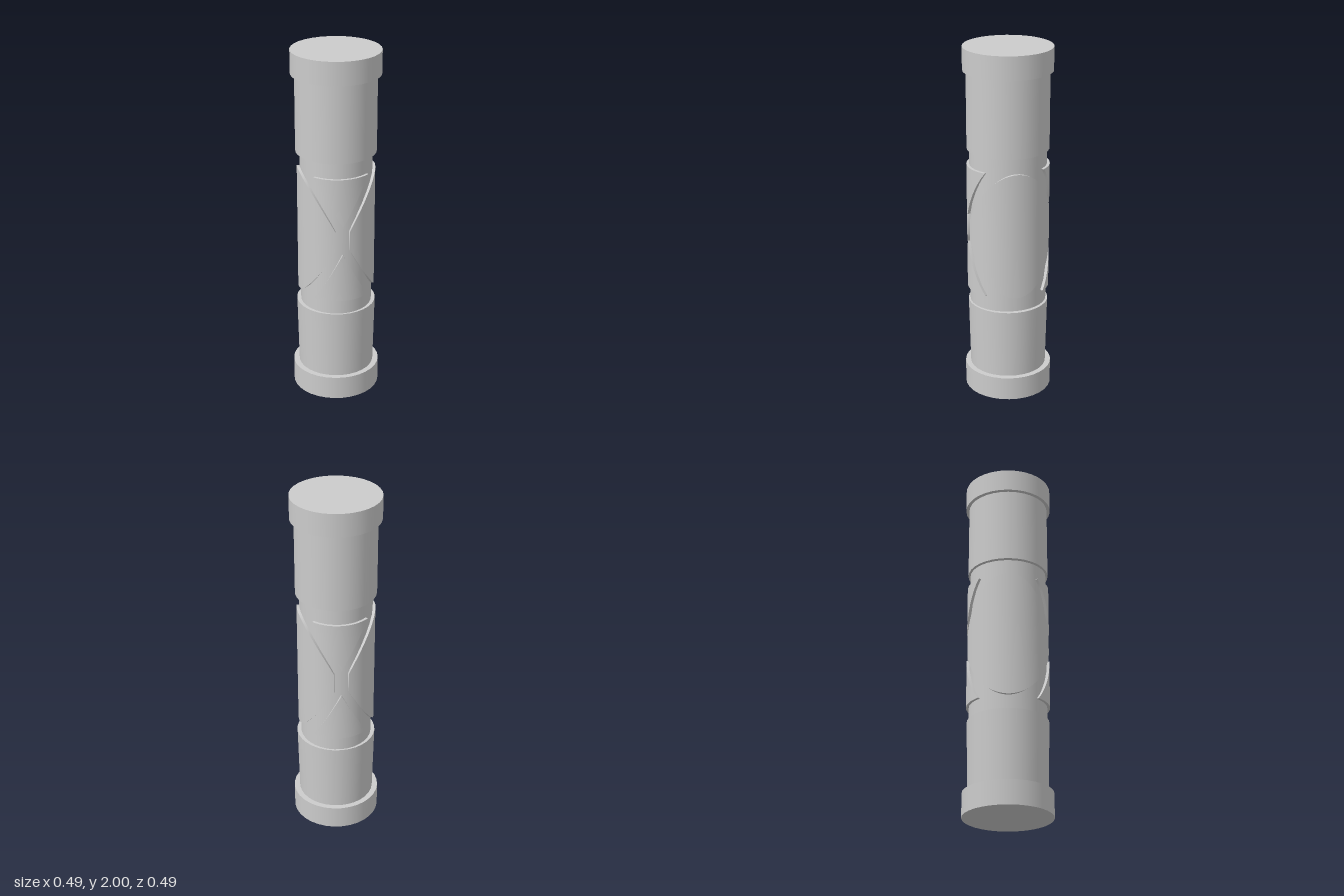
import * as THREE from 'three';
import { toCreasedNormals } from 'three/addons/utils/BufferGeometryUtils.js';

const MID = 0.983;            // height of the grip's centre
const HALF = 0.3625;          // half height of the grip panels
const RX = 0.215, RZ = 0.23;  // outer radii of the grip panels
const material = new THREE.MeshStandardMaterial({ color: 0xcccccc, side: THREE.DoubleSide });

// Upright cylinder section, optionally oval and tapered
function section(name, y0, y1, rTop, rBottom = rTop, depth = 1) {
  const geometry = new THREE.CylinderGeometry(rTop, rBottom, y1 - y0, 32);
  geometry.scale(1, 1, depth);
  const mesh = new THREE.Mesh(geometry, material);
  mesh.name = name;
  mesh.position.y = (y0 + y1) / 2;
  return mesh;
}

// Raised plate wrapped on the grip; range(angle) gives its lower and upper edge
function plate(name, from, to, steps, range) {
  const rings = [];
  for (let i = 0; i <= steps; i++) {
    const a = from + (to - from) * i / steps;
    const [low, high] = range(a);
    const at = (y, k) => [RX * k * Math.cos(a), y, RZ * k * Math.sin(a)];
    rings.push([at(low, 1), at(high, 1), at(high, 0.9), at(low, 0.9)]);
  }
  const points = [];
  const quad = (a, b, c, d) => points.push(...a, ...b, ...c, ...a, ...c, ...d);
  for (let i = 0; i < steps; i++) {
    const a = rings[i], b = rings[i + 1];
    for (let j = 0; j < 4; j++) {
      const k = (j + 1) % 4;
      quad(a[j], a[k], b[k], b[j]);
    }
  }
  const first = rings[0], last = rings[steps];
  quad(first[0], first[3], first[2], first[1]);
  quad(last[0], last[1], last[2], last[3]);
  const geometry = new THREE.BufferGeometry();
  geometry.setAttribute('position', new THREE.Float32BufferAttribute(points, 3));
  const mesh = new THREE.Mesh(toCreasedNormals(geometry, 0.6), material);
  mesh.name = name;
  return mesh;
}

export function createModel() {
  const group = new THREE.Group();

  // Stacked body
  group.add(
    section('bottomCap', 0, 0.135, 0.246),
    section('lowerBody', 0.135, 0.535, 0.223, 0.214, 1.01),
    section('gripCore', 0.535, 1.435, 0.2, 0.2, 1.075),
    section('upperBody', 1.435, 1.87, 0.223, 0.223, 1.02),
    section('topCap', 1.87, 2, 0.246)
  );

  // Oval side panels with trimmed ends
  const ovalEnd = Math.acos(0.04 / RX);
  const oval = a => {
    const h = HALF * Math.sqrt(1 - (Math.sin(a) / 0.9945) ** 2);
    return [MID - h, MID + h];
  };
  // Triangular panels filling the gaps between the ovals
  const triEnd = Math.acos(0.15 / RX);
  const triangle = sign => a => {
    const x = Math.abs(RX * Math.cos(a));
    const inner = MID + sign * Math.min(0.08 + x / 0.15 * (HALF - 0.08), HALF - 0.003);
    const outer = MID + sign * HALF;
    return sign > 0 ? [inner, outer] : [outer, inner];
  };

  for (const [side, face, turn] of [['left', 'front', 0], ['right', 'back', Math.PI]]) {
    const parts = [
      plate(side + 'OvalPanel', -ovalEnd, ovalEnd, 40, oval),
      plate(face + 'UpperTriangle', triEnd, Math.PI - triEnd, 16, triangle(1)),
      plate(face + 'LowerTriangle', triEnd, Math.PI - triEnd, 16, triangle(-1))
    ];
    for (const part of parts) {
      part.rotation.y = turn;
      group.add(part);
    }
  }
  return group;
}
